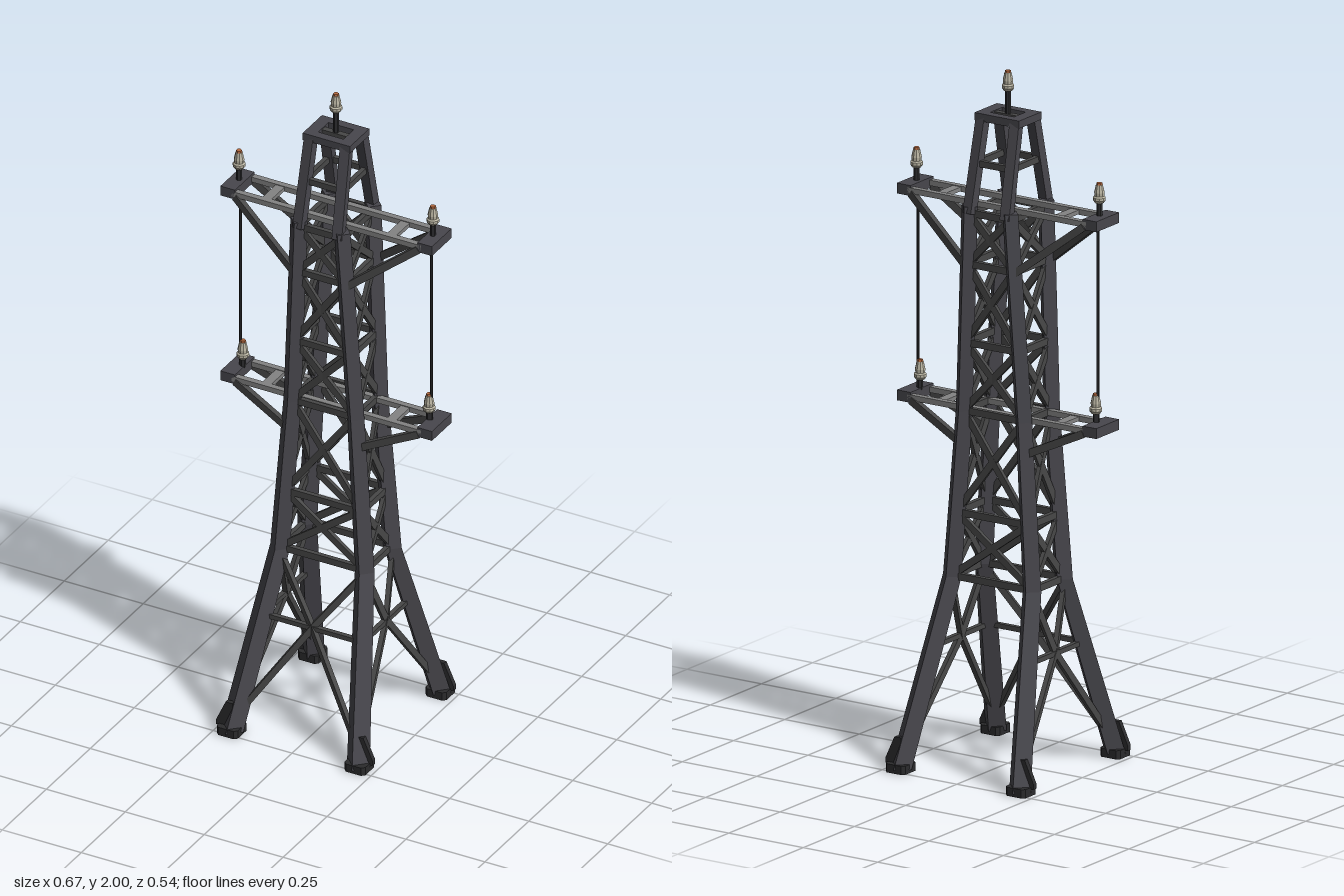
import * as THREE from 'three';

const mat = (name, color, extra = {}) => {
  const m = new THREE.MeshStandardMaterial({ color, flatShading: true, ...extra });
  m.name = name;
  return m;
};

// Leg centreline stations: height, x, z, half diagonal
const STATIONS = [
  [0.01, 0.2, 0.232, 0.036],
  [0.54, 0.134, 0.077, 0.031],
  [1.02, 0.1, 0.068, 0.028],
  [1.62, 0.068, 0.088, 0.027],
];

// Leg centre at a given height
function legAt(y) {
  for (let i = 1; i < STATIONS.length; i++) {
    const a = STATIONS[i - 1], b = STATIONS[i];
    if (y <= b[0] || i === STATIONS.length - 1) {
      const t = (y - a[0]) / (b[0] - a[0]);
      return [a[1] + (b[1] - a[1]) * t, a[2] + (b[2] - a[2]) * t];
    }
  }
}

// Diamond-section leg lofted through the stations
function legGeometry(sx, sz) {
  const pos = [], idx = [], n = STATIONS.length;
  for (const [y, x, z, r] of STATIONS) {
    for (let k = 0; k < 4; k++) {
      const a = k * Math.PI / 2;
      pos.push(sx * x + r * Math.cos(a), y, sz * z + r * Math.sin(a));
    }
  }
  for (let i = 0; i < n - 1; i++) {
    for (let k = 0; k < 4; k++) {
      const a = i * 4 + k, b = i * 4 + (k + 1) % 4;
      idx.push(a, a + 4, b, b, a + 4, b + 4);
    }
  }
  const t = (n - 1) * 4;
  idx.push(0, 1, 2, 0, 2, 3, t, t + 2, t + 1, t, t + 3, t + 2);
  const g = new THREE.BufferGeometry();
  g.setAttribute('position', new THREE.Float32BufferAttribute(pos, 3));
  g.setIndex(idx);
  g.computeVertexNormals();
  return g;
}

export function createModel() {
  const legSteel = mat('legSteel', 0x48474d);
  const braceSteel = mat('braceSteel', 0x484848);
  const railSteel = mat('railSteel', 0x838383);
  const darkSteel = mat('darkSteel', 0x2b2b2d);
  const ceramic = mat('ceramic', 0xb9b4a2);
  const copper = mat('copper', 0xb4693f);
  const root = new THREE.Group();
  root.name = 'latticeTower';

  const add = (name, geo, material, x = 0, y = 0, z = 0, parent = root) => {
    const m = new THREE.Mesh(geo, material);
    m.name = name;
    m.position.set(x, y, z);
    parent.add(m);
    return m;
  };
  const box = (name, w, h, d, material, x, y, z) =>
    add(name, new THREE.BoxGeometry(w, h, d), material, x, y, z);
  // Rectangular bar between two points
  const beam = (name, a, b, thick, wide, material) => {
    const p = new THREE.Vector3(...a), q = new THREE.Vector3(...b);
    const m = add(name, new THREE.BoxGeometry(thick, wide, p.distanceTo(q)), material);
    m.position.copy(p).lerp(q, 0.5);
    m.lookAt(q);
    return m;
  };

  // Legs, feet and foot gussets
  const footShape = new THREE.Shape();
  const f = 0.033, c = 0.024;
  [[f, c], [c, f], [-c, f], [-f, c], [-f, -c], [-c, -f], [c, -f], [f, -c]]
    .forEach(([x, y], i) => i ? footShape.lineTo(x, y) : footShape.moveTo(x, y));
  const footGeo = new THREE.ExtrudeGeometry(footShape, { depth: 0.025, bevelEnabled: false });
  footGeo.rotateX(-Math.PI / 2);
  const gussetShape = new THREE.Shape();
  gussetShape.moveTo(-0.01, 0.02);
  gussetShape.lineTo(0.042, 0.02);
  gussetShape.lineTo(0.042, 0.035);
  gussetShape.lineTo(0.012, 0.1);
  gussetShape.lineTo(-0.01, 0.1);
  const gussetGeo = new THREE.ExtrudeGeometry(gussetShape, { depth: 0.014, bevelEnabled: false });
  gussetGeo.translate(0, 0, -0.007);
  for (const sx of [-1, 1]) {
    for (const sz of [-1, 1]) {
      add('leg', legGeometry(sx, sz), legSteel);
      add('foot', footGeo, darkSteel, sx * 0.202, 0, sz * 0.231);
      const g = add('footGusset', gussetGeo, darkSteel, sx * 0.202, 0, sz * 0.23 - sx * 0.007);
      if (sx < 0) g.rotation.y = Math.PI;
      // Tapered head post
      beam('headPost', [sx * 0.062, 1.6, sz * 0.098], [sx * 0.056, 1.87, sz * 0.04], 0.03, 0.026, legSteel);
    }
  }

  // Lattice: a point on a given face, s = -1 or 1 across it
  const facePoint = (face, s, y) => {
    const [x, z] = legAt(y);
    return face.axis === 'z' ? [s * x, y, face.sign * z] : [face.sign * x, y, s * z];
  };
  const faces = [
    { axis: 'z', sign: 1 }, { axis: 'z', sign: -1 },
    { axis: 'x', sign: 1 }, { axis: 'x', sign: -1 },
  ];
  const levels = [0.54, 0.725, 1.02, 1.22, 1.45, 1.6];
  for (const face of faces) {
    levels.forEach((y, i) => {
      beam('crossBar', facePoint(face, -1, y), facePoint(face, 1, y), 0.014, 0.02, braceSteel);
      if (i === 0) return;
      for (const s of [-1, 1]) {
        beam('diagonalBrace', facePoint(face, s, levels[i - 1]), facePoint(face, -s, y), 0.012, 0.02, braceSteel);
      }
    });
    // Splayed base bracing; the rear stays open
    if (face.axis === 'z' && face.sign < 0) continue;
    const mid = 0.345, centre = facePoint(face, 0, mid);
    beam('baseBar', facePoint(face, -1, mid), facePoint(face, 1, mid), 0.014, 0.014, braceSteel);
    for (const s of [-1, 1]) {
      beam('baseBrace', facePoint(face, s, 0.05), centre, 0.014, 0.018, braceSteel);
      beam('baseBrace', centre, facePoint(face, s, 0.53), 0.014, 0.018, braceSteel);
    }
  }

  // Head: mid ring, top frame and bar carrying the top insulator
  for (const s of [-1, 1]) {
    box('headBar', 0.11, 0.018, 0.014, braceSteel, 0, 1.74, s * 0.068);
    box('headBar', 0.014, 0.018, 0.13, braceSteel, s * 0.059, 1.74, 0);
    box('capFrame', 0.15, 0.022, 0.026, legSteel, 0, 1.868, s * 0.042);
    box('capFrame', 0.035, 0.022, 0.06, legSteel, s * 0.0575, 1.868, 0);
  }
  box('capBar', 0.085, 0.016, 0.018, braceSteel, 0, 1.868, 0);

  // Insulator: stem, ribbed body and copper tip
  const bodyGeo = new THREE.LatheGeometry([
    [0, 0], [0.012, 0], [0.018, 0.008], [0.018, 0.016], [0.014, 0.02],
    [0.015, 0.03], [0.01, 0.052], [0, 0.052],
  ].map(p => new THREE.Vector2(...p)), 10);
  const insulator = (x, base, tip) => {
    const g = new THREE.Group();
    g.name = 'insulator';
    root.add(g);
    const stem = tip - 0.058 - base;
    add('stem', new THREE.CylinderGeometry(0.008, 0.008, stem, 6), darkSteel, x, base + stem / 2, 0, g);
    add('insulatorBody', bodyGeo, ceramic, x, tip - 0.058, 0, g);
    add('insulatorTip', new THREE.CylinderGeometry(0.008, 0.009, 0.008, 6), copper, x, tip - 0.004, 0, g);
  };
  insulator(0, 1.87, 2);

  // Cross arms
  const arms = [
    { y: 1.02, tip: 1.117, ix: 0.295, root: [0.93, 0.115, 0.072] },
    { y: 1.617, tip: 1.727, ix: 0.307, root: [1.45, 0.085, 0.088] },
  ];
  for (const arm of arms) {
    for (const sz of [-1, 1]) {
      box('armRail', 0.6, 0.016, 0.018, railSteel, 0, arm.y, sz * 0.047);
    }
    for (const sx of [-1, 1]) {
      box('armEnd', 0.046, 0.03, 0.112, legSteel, sx * 0.312, arm.y, 0);
      box('armTie', 0.028, 0.012, 0.08, railSteel, sx * 0.198, arm.y, 0);
      insulator(sx * arm.ix, arm.y + 0.01, arm.tip);
      const [ry, rx, rz] = arm.root;
      for (const sz of [-1, 1]) {
        beam('armStrut', [sx * rx, ry, sz * rz], [sx * 0.29, arm.y - 0.008, sz * 0.05], 0.016, 0.022, braceSteel);
      }
    }
  }

  // Cables joining the arm ends
  for (const sx of [-1, 1]) {
    add('cable', new THREE.CylinderGeometry(0.004, 0.004, 0.58, 6), darkSteel, sx * 0.302, 1.32, 0);
  }
  return root;
}
